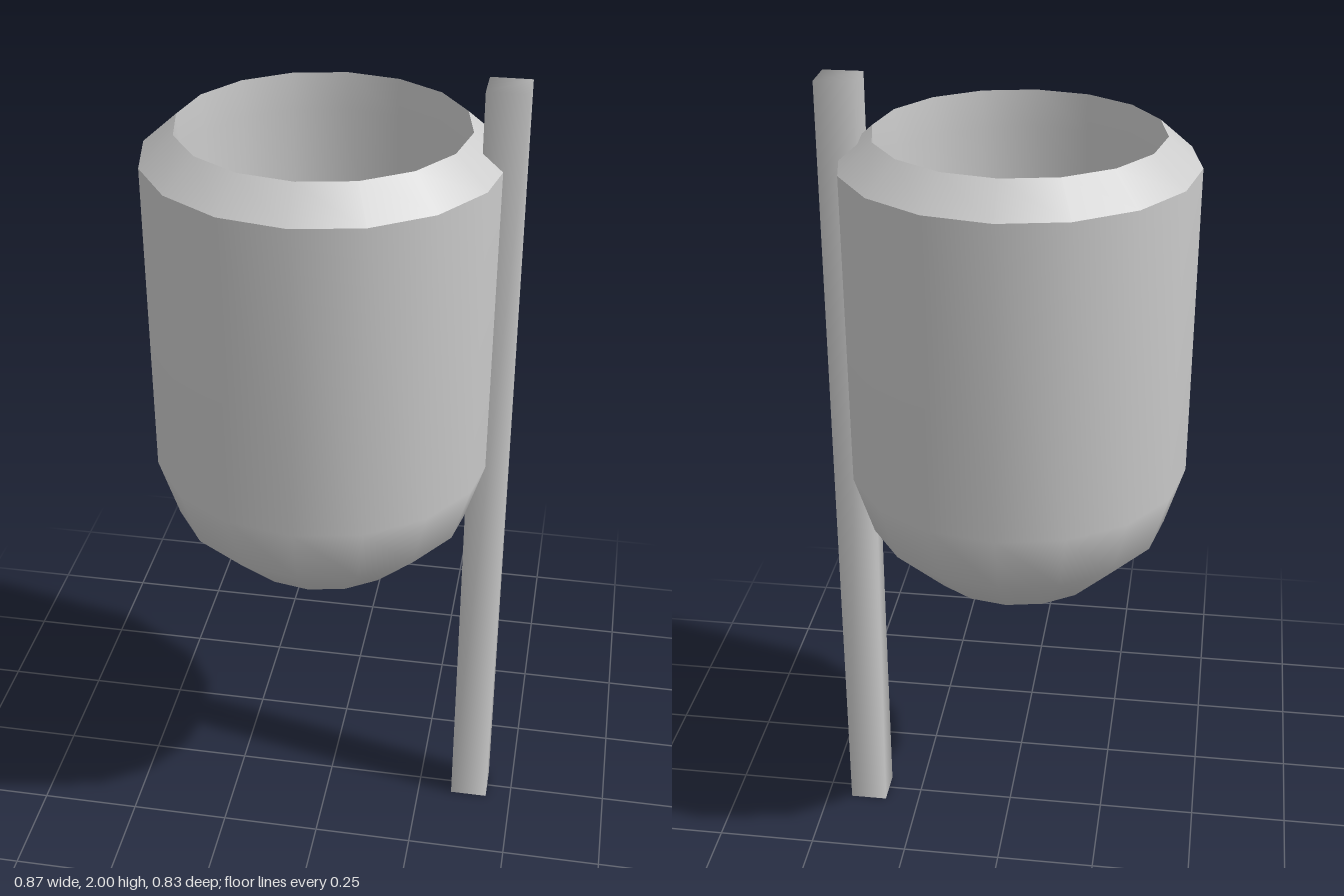
import * as THREE from 'three';
import { mergeVertices } from 'three/addons/utils/BufferGeometryUtils.js';

const SIDES = 16;

export function createModel() {
  const model = new THREE.Group();
  const material = new THREE.MeshStandardMaterial({ color: 0xcccccc });

  // Each lathe is smooth; separate lathes keep the rim edges sharp
  const lathe = (name, profile) => {
    const points = profile.map(([r, y]) => new THREE.Vector2(r, y));
    const mesh = new THREE.Mesh(new THREE.LatheGeometry(points, SIDES), material);
    mesh.name = name;
    return mesh;
  };

  // Round-bottomed cup with a bevelled rim and a hollow inside
  const cup = new THREE.Group();
  cup.name = 'cup';
  cup.position.x = -0.02;
  cup.add(
    lathe('outerWall', [[0, 0.71], [0.115, 0.726], [0.23, 0.778], [0.365, 0.91], [0.412, 1.06], [0.415, 1.82]]),
    lathe('bevelledRim', [[0.415, 1.82], [0.335, 1.89]]),
    lathe('innerWall', [[0.335, 1.89], [0.33, 1.8], [0.33, 1.07], [0.3, 0.95], [0.2, 0.84], [0.1, 0.8], [0, 0.785]])
  );
  model.add(cup);

  // Square pole standing against the cup, with shading blended over its corners
  const box = new THREE.BoxGeometry(0.095, 2, 0.095);
  box.deleteAttribute('normal');
  box.deleteAttribute('uv');
  const poleGeometry = mergeVertices(box);
  poleGeometry.computeVertexNormals();
  const pole = new THREE.Mesh(poleGeometry, material);
  pole.name = 'pole';
  pole.position.set(0.387, 1, -0.003);
  model.add(pole);

  return model;
}
